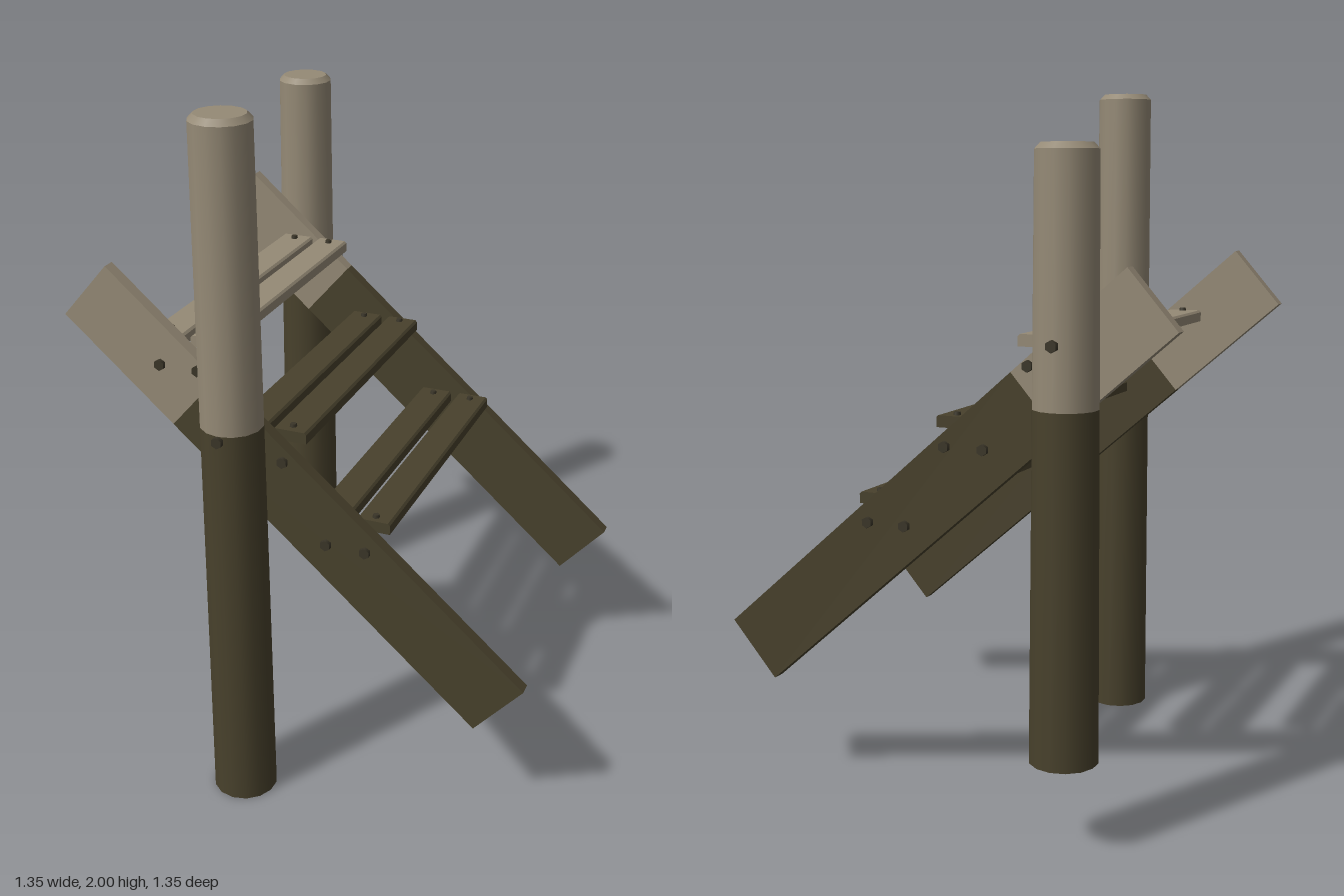
import * as THREE from 'three';

const paleWood = new THREE.MeshStandardMaterial({ name: 'paleWood', color: 0x958a76 });
const darkWood = new THREE.MeshStandardMaterial({ name: 'darkWood', color: 0x48412c });
const darkMetal = new THREE.MeshStandardMaterial({ name: 'darkMetal', color: 0x3a3528 });

function add(parent, name, geometry, material, x = 0, y = 0, z = 0) {
  const mesh = new THREE.Mesh(geometry, material);
  mesh.name = name;
  mesh.position.set(x, y, z);
  parent.add(mesh);
  return mesh;
}

// Tapered round post: dark lower shaft, pale upper shaft, chamfered top
function post(name, x, z, bottom, top) {
  const group = new THREE.Group();
  group.name = name;
  const split = 1.17, chamfer = 0.016, r0 = 0.092, r1 = 0.082;
  const rs = THREE.MathUtils.lerp(r0, r1, (split - bottom) / (top - bottom));
  const section = (part, a, b, ra, rb, open, material) =>
    add(group, part, new THREE.CylinderGeometry(rb, ra, b - a, 14, 1, open), material, x, (a + b) / 2, z);
  section('lowerShaft', bottom, split, r0, rs, false, darkWood);
  section('upperShaft', split, top - chamfer, rs, r1, true, paleWood);
  section('chamferedTop', top - chamfer, top, r1, 0.067, false, paleWood);
  return group;
}

// Sloping side board, pale at its upper end
function stringer(name, z) {
  const group = new THREE.Group();
  group.name = name;
  group.position.set(0, 0.912, z);
  group.rotation.z = -Math.atan2(1.06, 1.215);
  const half = 0.806, split = -0.381;
  add(group, 'upperBoard', new THREE.BoxGeometry(split + half, 0.209, 0.038), paleWood, (split - half) / 2);
  add(group, 'lowerBoard', new THREE.BoxGeometry(half - split, 0.209, 0.038), darkWood, (split + half) / 2);
  return group;
}

// Tread plank running along z with chamfered long top edges
function plankGeometry(width, height, length) {
  const w = width / 2, c = 0.006;
  const shape = new THREE.Shape([
    [-w, 0], [w, 0], [w, height - c], [w - c, height], [c - w, height], [-w, height - c],
  ].map(([x, y]) => new THREE.Vector2(x, y)));
  return new THREE.ExtrudeGeometry(shape, { depth: length, bevelEnabled: false }).translate(0, 0, -length / 2);
}

export function createModel() {
  const model = new THREE.Group();
  model.name = 'stepLadder';

  model.add(post('frontPost', -0.125, 0.577, 0, 2));
  model.add(post('backPost', -0.413, -0.577, 0.245, 1.825));
  model.add(stringer('frontStringer', 0.463));
  model.add(stringer('backStringer', -0.468));

  const bolt = new THREE.CylinderGeometry(0.016, 0.016, 0.024, 6).rotateX(Math.PI / 2);
  const screw = new THREE.CylinderGeometry(0.009, 0.011, 0.012, 6);

  // Three treads of two planks each, with screws on top and bolts through the stringers
  const planks = [[-0.385, 0.1, -0.002], [-0.267, 0.096, -0.004], [-0.145, 0.1, 0], [-0.024, 0.1, 0.001], [0.096, 0.1, -0.004], [0.219, 0.098, -0.004]];
  planks.forEach(([x, width, z], i) => {
    const step = Math.floor(i / 2);
    const y = 1.304 - step * 0.232;
    const tread = new THREE.Group();
    tread.name = 'tread' + (i + 1);
    add(tread, 'plank', plankGeometry(width, 0.033, 0.878), step === 0 ? paleWood : darkWood, x, y, z);
    const boltX = [-0.385, -0.27, -0.14, -0.025, 0.1, 0.215][i];
    for (const side of [1, -1]) {
      add(tread, 'screw', screw, darkMetal, x, y + 0.036, side * 0.411);
      add(tread, 'stringerBolt', bolt, darkMetal, boltX, 1.26 - step * 0.23, side > 0 ? 0.482 : -0.488);
    }
    model.add(tread);
  });

  // Bolts through the posts
  add(model, 'frontPostBolt', bolt, darkMetal, -0.125, 1.155, 0.662);
  add(model, 'backPostBolt', bolt, darkMetal, -0.413, 1.335, -0.662);
  return model;
}
